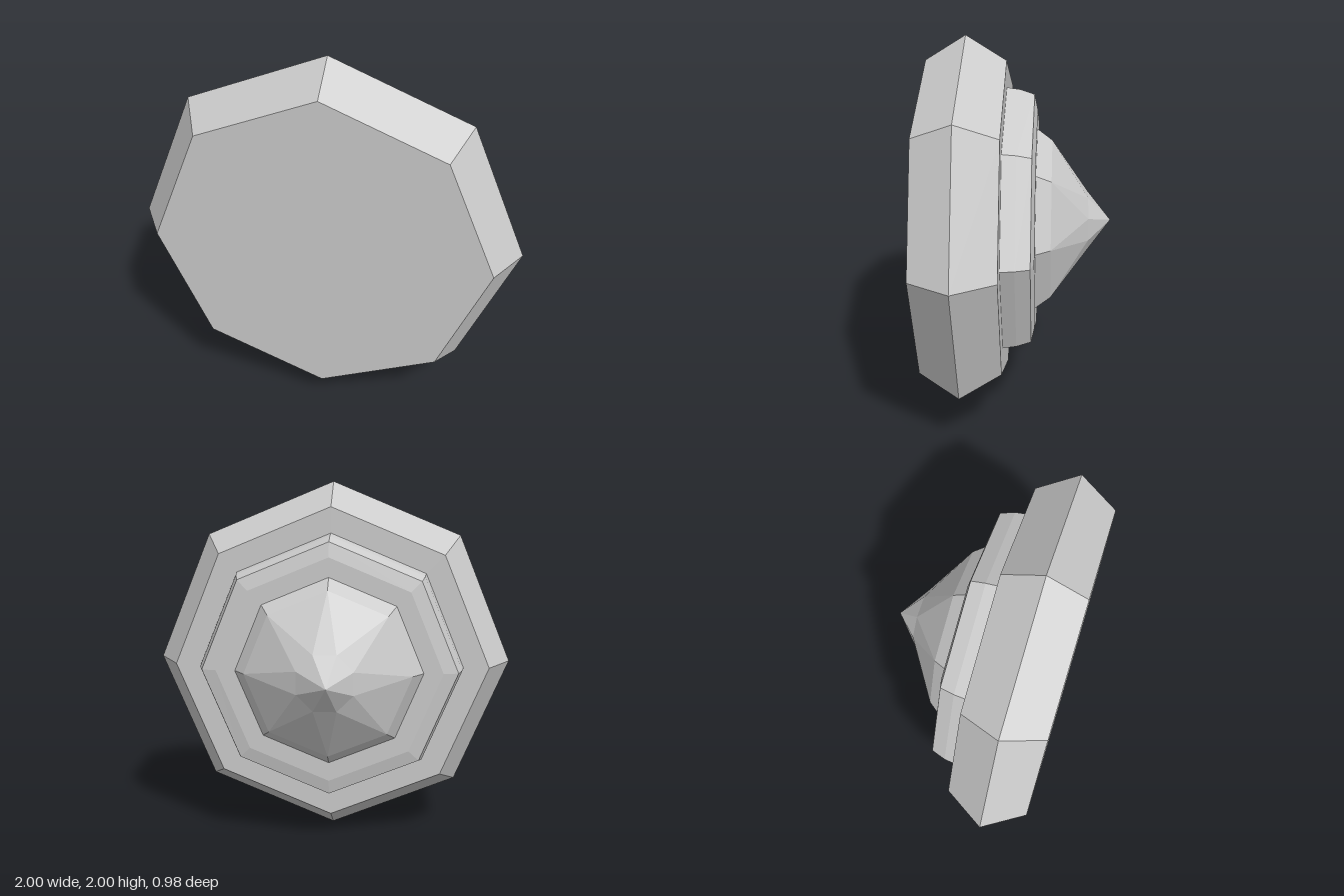
import * as THREE from 'three';

const SIDES = 8;
const material = new THREE.MeshStandardMaterial({ color: 0xcccccc, flatShading: true });

// Octagonal solid around the z axis; profile holds [radius, z] from front to back
function octagonal(name, profile) {
  const points = profile.map(([r, z]) => new THREE.Vector2(r, -z));
  const geometry = new THREE.LatheGeometry(points, SIDES).rotateX(-Math.PI / 2);
  const mesh = new THREE.Mesh(geometry, material);
  mesh.name = name;
  return mesh;
}

// Faceted point: the middle ring is turned half a step against the outer one
function facetedTip() {
  const at = (r, step, z) => {
    const a = (step / SIDES) * Math.PI * 2;
    return [r * Math.cos(a), r * Math.sin(a), z];
  };
  const apex = [-0.015, 0, -0.49];
  const positions = [];
  for (let i = 0; i < SIDES; i++) {
    const outer = at(0.45, i, -0.17), outerNext = at(0.45, i + 1, -0.17);
    const inner = at(0.16, i + 0.5, -0.365), innerNext = at(0.16, i + 1.5, -0.365);
    positions.push(
      ...outerNext, ...outer, ...inner,
      ...outerNext, ...inner, ...innerNext,
      ...innerNext, ...inner, ...apex
    );
  }
  const geometry = new THREE.BufferGeometry();
  geometry.setAttribute('position', new THREE.Float32BufferAttribute(positions, 3));
  geometry.computeVertexNormals();
  const mesh = new THREE.Mesh(geometry, material);
  mesh.name = 'facetedTip';
  return mesh;
}

export function createModel() {
  const model = new THREE.Group();
  model.name = 'octagonalStud';
  model.add(
    // wide plate with a ridge around its rim
    octagonal('basePlate', [[0, 0.49], [0.87, 0.49], [1, 0.28], [0.87, 0.07], [0, 0.07]]),
    // rounded step behind the plate
    octagonal('collar', [[0.73, 0.07], [0.72, 0], [0.695, -0.075], [0.615, -0.092], [0, -0.092]]),
    // sloping shoulder under the tip
    octagonal('shoulder', [[0.51, -0.092], [0.45, -0.17]]),
    facetedTip()
  );
  model.position.y = 1;
  const root = new THREE.Group();
  root.add(model);
  return root;
}
